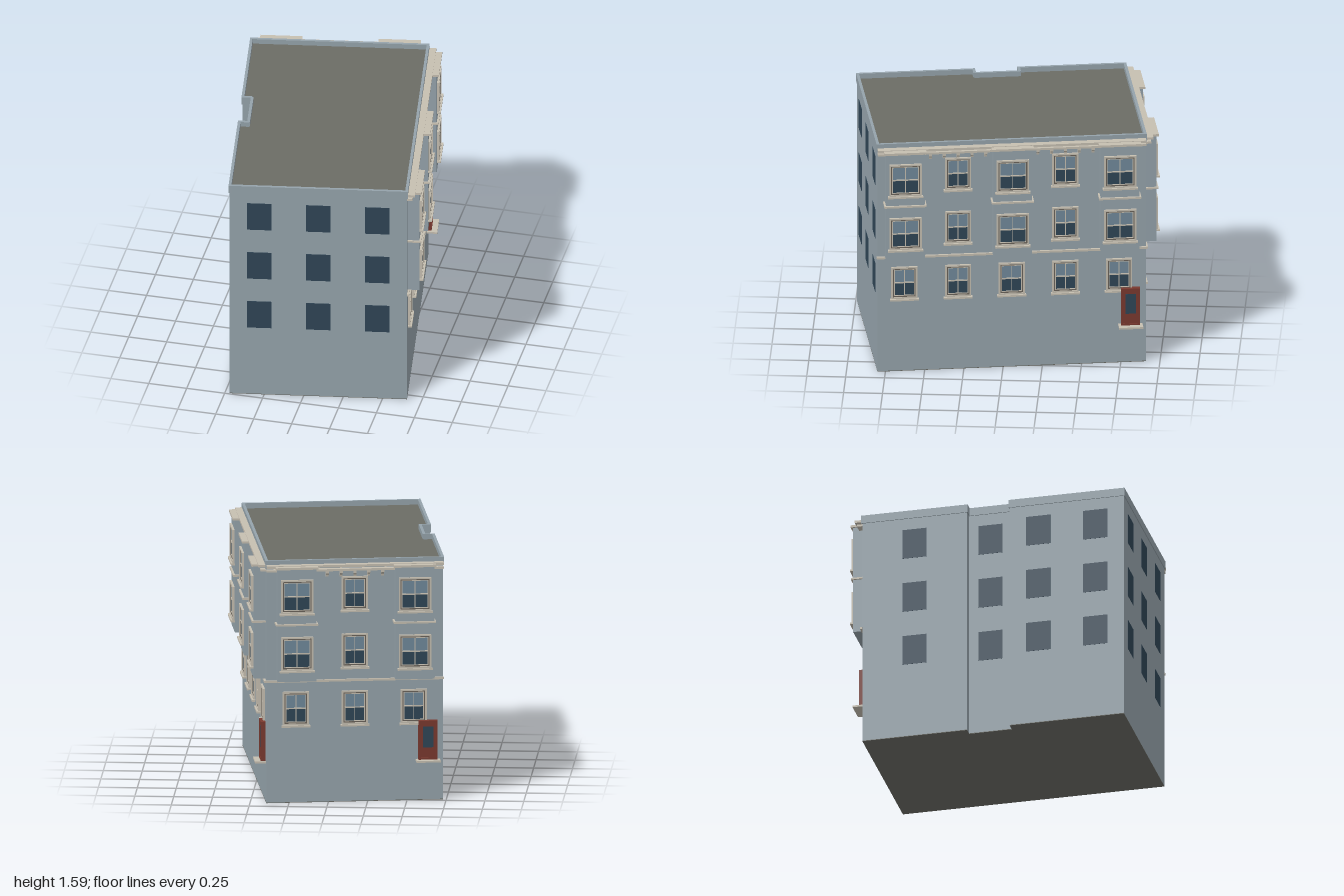
import * as THREE from 'three';

const mat = (color) => new THREE.MeshStandardMaterial({ color, roughness: 0.9 });
const M = {
  wall: mat(0x95a3ab), trim: mat(0xc6bfb1), sash: mat(0x6a635a), roof: mat(0x6b6c65),
  paneLight: mat(0x70899a), paneDark: mat(0x2f4556), door: mat(0x7a392f),
};

// Box spanning a width centred on x, from y0 to y1 and z0 to z1
function box(parent, name, material, x, w, y0, y1, z0, z1) {
  const m = new THREE.Mesh(new THREE.BoxGeometry(w, y1 - y0, z1 - z0), material);
  m.position.set(x, (y0 + y1) / 2, (z0 + z1) / 2);
  m.name = name;
  parent.add(m);
}

// Horizontal slab with the footprint outline
function slab(parent, name, material, points, y0, y1) {
  const shape = new THREE.Shape(points.map(([x, z]) => new THREE.Vector2(x, -z)));
  const g = new THREE.ExtrudeGeometry(shape, { depth: y1 - y0, bevelEnabled: false });
  g.rotateX(-Math.PI / 2);
  g.translate(0, y0, 0);
  const m = new THREE.Mesh(g, material);
  m.name = name;
  parent.add(m);
}

// Flat rectangular ring of border t, centred on height y
function frame(parent, name, material, w, h, t, depth, y, z) {
  const rect = (path, a, b) => path.moveTo(-a, -b).lineTo(a, -b).lineTo(a, b).lineTo(-a, b).lineTo(-a, -b);
  const s = rect(new THREE.Shape(), w / 2, h / 2);
  s.holes.push(rect(new THREE.Path(), w / 2 - t, h / 2 - t));
  const m = new THREE.Mesh(new THREE.ExtrudeGeometry(s, { depth, bevelEnabled: false }), material);
  m.position.set(0, y, z);
  m.name = name;
  parent.add(m);
}

// Two-over-two sash window; y is the bottom of the casing
function sashWindow(parent, x, y, z, w) {
  const h = 0.22, win = new THREE.Group();
  win.name = 'sashWindow';
  win.position.set(x, y + h / 2, z);
  frame(win, 'casing', M.trim, w, h, 0.011, 0.014, 0, 0);
  frame(win, 'sashSurround', M.sash, w - 0.022, h - 0.022, 0.007, 0.009, 0, 0);
  frame(win, 'sash', M.trim, w - 0.036, h - 0.036, 0.005, 0.007, 0, 0);
  box(win, 'upperGlass', M.paneLight, 0, w - 0.04, 0, h / 2 - 0.02, 0, 0.003);
  box(win, 'lowerGlass', M.paneDark, 0, w - 0.04, 0.02 - h / 2, 0, 0, 0.003);
  box(win, 'meetingRail', M.trim, 0, w - 0.036, -0.004, 0.004, 0, 0.008);
  box(win, 'muntin', M.trim, 0, 0.005, 0.02 - h / 2, h / 2 - 0.02, 0, 0.007);
  box(win, 'sill', M.trim, 0, w + 0.018, -h / 2 - 0.012, -h / 2, 0, 0.025);
  parent.add(win);
}

// Wall frame: x runs along the wall seen from outside, z points outward
function wallFrame(parent, name, [ax, az], [bx, bz]) {
  const g = new THREE.Group();
  g.name = name;
  g.position.set((ax + bx) / 2, 0, (az + bz) / 2);
  g.rotation.y = Math.atan2(az - bz, bx - ax);
  g.userData.length = Math.hypot(bx - ax, bz - az);
  parent.add(g);
  return g;
}

const ROWS = [0.51, 0.885, 1.26];

function plainWindows(wall, fractions, w) {
  for (const f of fractions) for (const y of ROWS)
    box(wall, 'plainWindow', M.paneDark, (f - 0.5) * wall.userData.length, w, y, y + 0.202, -0.002, 0.002);
}

// Scrolled bracket under the cornice
function bracket(parent, x) {
  const s = new THREE.Shape();
  s.moveTo(0, 0);
  s.lineTo(0.012, 0);
  s.quadraticCurveTo(0.014, 0.024, 0.034, 0.026);
  s.lineTo(0.034, 0.042);
  s.lineTo(0, 0.042);
  const g = new THREE.ExtrudeGeometry(s, { depth: 0.018, bevelEnabled: false, curveSegments: 4 });
  g.rotateY(-Math.PI / 2);
  const m = new THREE.Mesh(g, M.trim);
  m.position.set(x + 0.009, 1.482, 0);
  m.name = 'bracket';
  parent.add(m);
}

// Two-storey projecting bay
function bay(parent, x) {
  const d = 0.076, g = new THREE.Group();
  g.name = 'bay';
  g.position.x = x;
  box(g, 'lowerBay', M.wall, 0, 0.25, 0.81, 1.18, 0, d);
  box(g, 'bayMoulding', M.trim, 0, 0.272, 1.178, 1.19, 0, d + 0.013);
  box(g, 'upperBay', M.wall, 0, 0.25, 1.19, 1.547, 0, d);
  box(g, 'bayCornice', M.trim, 0, 0.272, 1.547, 1.562, 0.03, d + 0.015);
  for (const y of ROWS.slice(1)) sashWindow(g, 0, y, d, 0.208);
  parent.add(g);
}

// Decorated street wall with bays on alternate columns
function facade(wall, columns) {
  const L = wall.userData.length, step = L / columns;
  for (let i = 0; i < columns; i++) {
    const x = (i + 0.5) * step - L / 2;
    sashWindow(wall, x, ROWS[0], 0, 0.168);
    if (i % 2 === 0) { bay(wall, x); continue; }
    for (const y of ROWS.slice(1)) sashWindow(wall, x, y, 0, 0.168);
    for (let k = -2; k <= 2; k++) bracket(wall, x + k * 0.089);
  }
  box(wall, 'stringCourse', M.trim, 0, L + 0.01, 0.792, 0.806, 0, 0.014);
  box(wall, 'bedMoulding', M.trim, 0, L, 1.522, 1.536, 0, 0.036);
  box(wall, 'cornice', M.trim, 0, L, 1.55, 1.566, 0, 0.05);
  // Entrance near the right end
  const door = new THREE.Group();
  door.name = 'entrance';
  door.position.x = L / 2 - 0.1;
  box(door, 'door', M.door, 0, 0.122, 0.27, 0.525, 0, 0.027);
  frame(door, 'doorFrame', M.door, 0.122, 0.255, 0.012, 0.005, 0.3975, 0.027);
  box(door, 'doorGlass', M.paneDark, 0, 0.066, 0.35, 0.487, 0.02, 0.03);
  box(door, 'doorStep', M.trim, 0, 0.155, 0.258, 0.27, 0, 0.07);
  wall.add(door);
}

export function createModel() {
  const root = new THREE.Group();
  root.name = 'cornerBuilding';
  // Footprint, anticlockwise seen from above: front, right, back, notched left
  const P = [
    [-0.47, 0.992], [0.655, 0.801], [0.395, -0.909], [-0.73, -0.718],
    [-0.626, -0.034], [-0.567, -0.044], [-0.525, 0.236], [-0.584, 0.246],
  ];
  slab(root, 'base', M.roof, P, 0, 0.004);
  slab(root, 'body', M.wall, P, 0.004, 1.55);
  slab(root, 'roof', M.roof, P, 1.55, 1.56);

  const names = ['frontWall', 'rightWall', 'backWall', 'leftWallBack', 'notchBack', 'notchWall', 'notchFront', 'leftWallFront'];
  const walls = names.map((n, i) => wallFrame(root, n, P[i], P[(i + 1) % P.length]));
  for (const w of walls)
    box(w, 'parapet', M.wall, 0, w.userData.length + 0.012, 1.54, 1.594, -0.012, 0.006);

  plainWindows(walls[0], [1 / 6, 0.5, 5 / 6], 0.158);
  facade(walls[1], 5);
  facade(walls[2], 3);
  plainWindows(walls[3], [0.5], 0.16);
  plainWindows(walls[5], [0.5], 0.16);
  plainWindows(walls[7], [0.25, 0.75], 0.16);
  return root;
}
